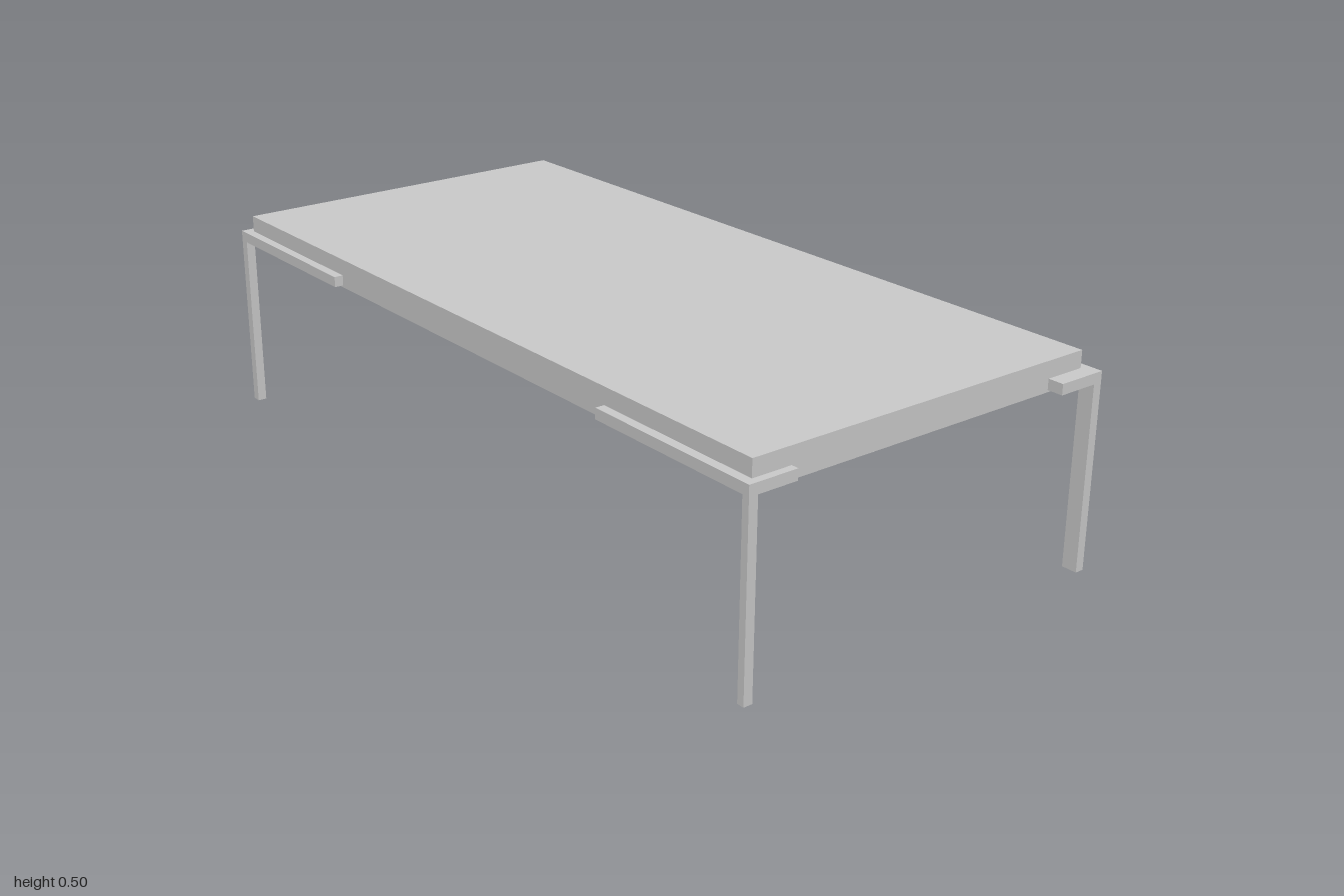
import * as THREE from 'three';

const grey = new THREE.MeshStandardMaterial({ color: 0xcccccc, flatShading: true, side: THREE.DoubleSide });

// Box given by its two extreme corners
function box(name, [x0, y0, z0], [x1, y1, z1]) {
  const geometry = new THREE.BoxGeometry(Math.abs(x1 - x0), y1 - y0, Math.abs(z1 - z0));
  const mesh = new THREE.Mesh(geometry, grey);
  mesh.name = name;
  mesh.position.set((x0 + x1) / 2, (y0 + y1) / 2, (z0 + z1) / 2);
  return mesh;
}

// Table top: a thin tray of panels, open underneath
function tableTop() {
  const W = 0.453, D = 0.962, bottom = 0.43, top = 0.5, t = 0.002;
  const group = new THREE.Group();
  group.name = 'tableTop';
  group.add(box('topPanel', [-W, top - t, -D], [W, top, D]));
  for (const s of [-1, 1]) {
    group.add(box('sideSkirt', [s * W, bottom, -D], [s * (W - t), top - t, D]));
    group.add(box('endSkirt', [-W + t, bottom, s * D], [W - t, top - t, s * (D - t)]));
  }
  return group;
}

// Leg with two bracket arms that grip the skirts at a corner
function cornerLeg(name, sx, sz, zOuter, xEnd, zEnd) {
  const xOuter = 0.475, xInner = 0.453, zInner = 0.962, grip = 0.015;
  const low = 0.435, high = 0.46;
  const group = new THREE.Group();
  group.name = name;
  group.add(box('leg', [sx * xInner, 0, sz * zInner], [sx * xOuter, high, sz * zOuter]));
  group.add(box('sideBracket', [sx * (xInner - grip), low, sz * zEnd], [sx * xOuter, high, sz * zOuter]));
  group.add(box('endBracket', [sx * xEnd, low, sz * (zInner - grip)], [sx * (xInner - grip), high, sz * zOuter]));
  return group;
}

export function createModel() {
  const model = new THREE.Group();
  model.name = 'lowTable';
  model.add(
    tableTop(),
    cornerLeg('frontLeftLeg', 1, 1, 1.0, 0.353, 0.52),
    cornerLeg('backLeftLeg', 1, -1, 1.0, 0.348, 0.525),
    cornerLeg('frontRightLeg', -1, 1, 0.98, 0.356, 0.52),
    cornerLeg('backRightLeg', -1, -1, 0.985, 0.355, 0.51)
  );
  return model;
}
